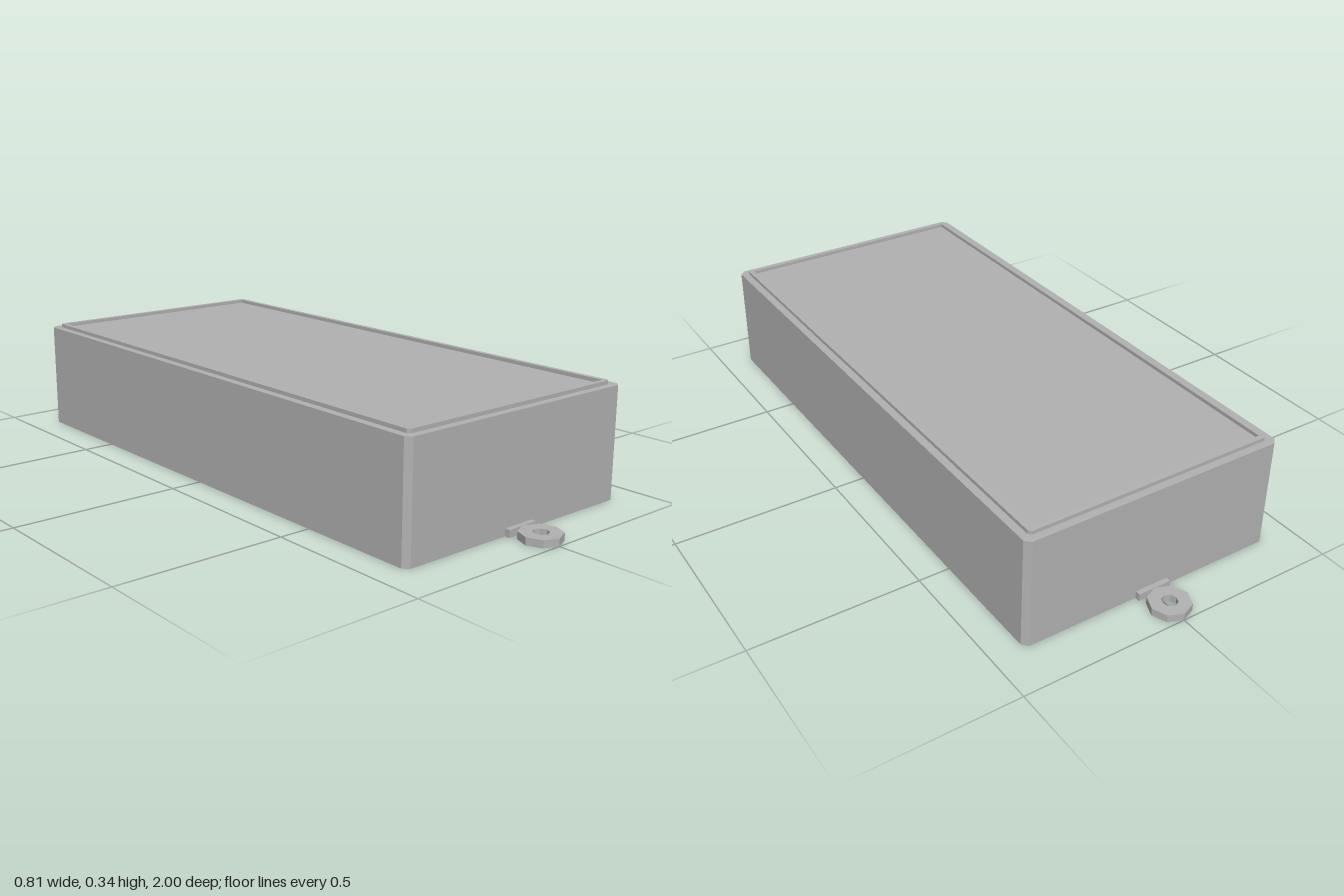
import * as THREE from 'three';

// Rectangle with cut corners, centred on the origin
function chamferedRect(target, w, d, c) {
  const x = w / 2, z = d / 2;
  target.setFromPoints([
    [x - c, -z], [x, -z + c], [x, z - c], [x - c, z],
    [-x + c, z], [-x, z - c], [-x, -z + c], [-x + c, -z],
  ].map(([a, b]) => new THREE.Vector2(a, b)));
  return target;
}

function octagon(target, r) {
  target.setFromPoints(Array.from({ length: 8 }, (_, i) => {
    const a = i * Math.PI / 4;
    return new THREE.Vector2(r * Math.cos(a), r * Math.sin(a));
  }));
  return target;
}

// Extrude a plan shape upwards from y
function slab(shape, y, height) {
  const g = new THREE.ExtrudeGeometry(shape, { depth: height, bevelEnabled: false });
  return g.rotateX(-Math.PI / 2).translate(0, y, 0);
}

export function createModel() {
  const model = new THREE.Group();
  model.name = 'enclosure';
  const grey = new THREE.MeshStandardMaterial({ color: 0xb2b2b2 });
  grey.name = 'plain grey';

  const add = (parent, name, geometry) => {
    const mesh = new THREE.Mesh(geometry, grey);
    mesh.name = name;
    parent.add(mesh);
    return mesh;
  };

  // Case with chamfered upright corners
  add(model, 'caseBody', slab(chamferedRect(new THREE.Shape(), 0.814, 1.73, 0.016), 0, 0.332));

  // Narrow raised lip around the top
  const lip = chamferedRect(new THREE.Shape(), 0.768, 1.684, 0.008);
  lip.holes.push(chamferedRect(new THREE.Path(), 0.738, 1.654, 0.002));
  add(model, 'topLip', slab(lip, 0.332, 0.011));

  // Mounting lugs at both ends: octagonal eyelet and root plate
  for (const side of [1, -1]) {
    const lug = new THREE.Group();
    lug.name = side > 0 ? 'frontLug' : 'backLug';
    const ring = octagon(new THREE.Shape(), 0.06);
    ring.holes.push(octagon(new THREE.Path(), 0.023));
    add(lug, 'eyelet', slab(ring, 0, 0.022)).position.z = side * 0.94;
    add(lug, 'rootPlate', new THREE.BoxGeometry(0.104, 0.022, 0.016)).position.set(0, 0.011, side * 0.872);
    model.add(lug);
  }
  return model;
}
